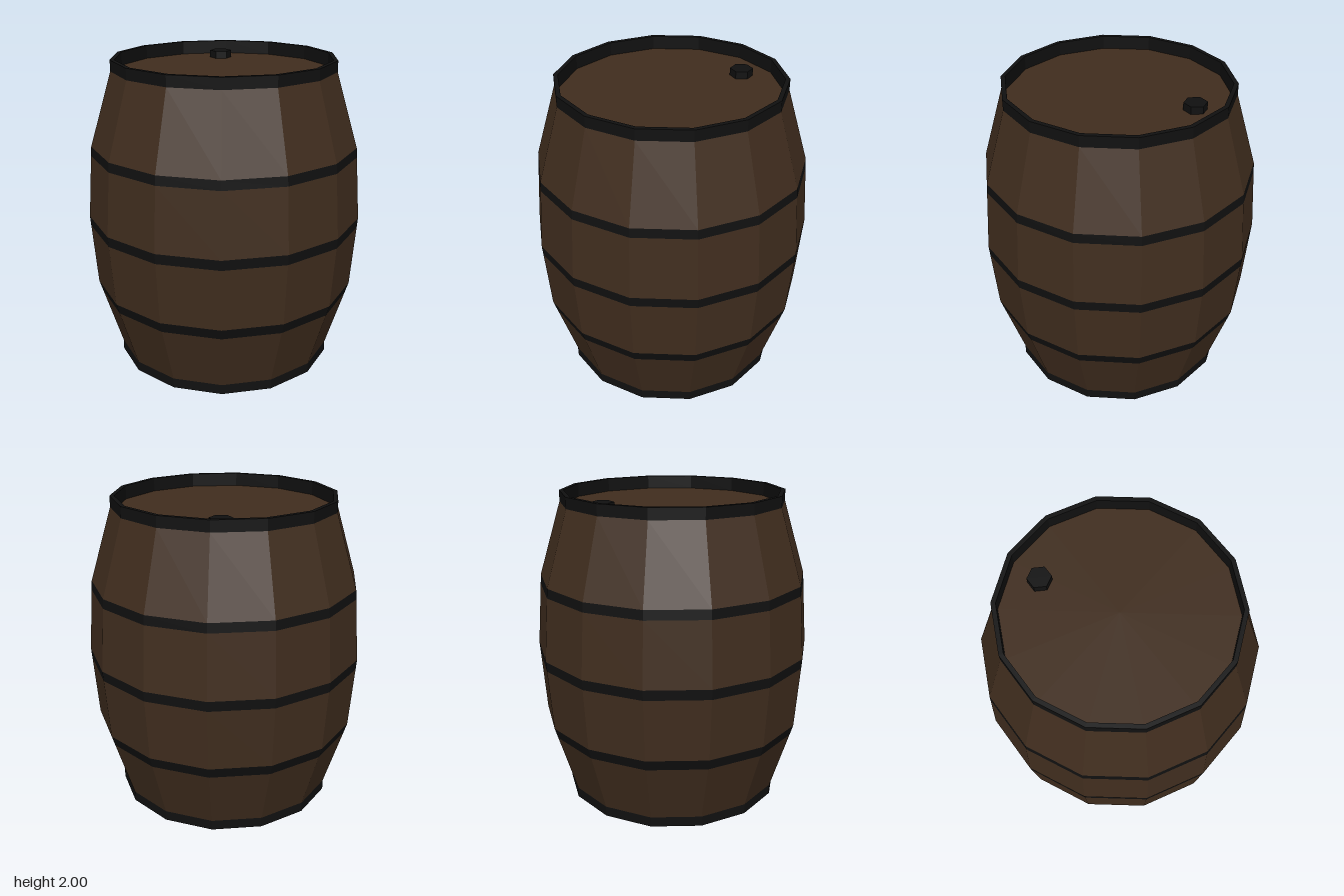
import * as THREE from 'three';

const SIDES = 14;
const wood = new THREE.MeshStandardMaterial({ color: 0x402d1e, flatShading: true });
const iron = new THREE.MeshStandardMaterial({ color: 0x101010, flatShading: true });

// Outline of the staves as [radius, height], from bottom to top
const outline = [[0.713, 0], [0.713, 0.065], [0.855, 0.53], [0.89, 0.995], [0.855, 1.46], [0.713, 1.93], [0.713, 2]];

function radiusAt(y) {
  const i = Math.max(1, outline.findIndex((p) => p[1] >= y));
  const [r0, y0] = outline[i - 1];
  const [r1, y1] = outline[i];
  return r0 + ((r1 - r0) * (y - y0)) / (y1 - y0);
}

function turned(name, profile, material) {
  const points = profile.map(([r, y]) => new THREE.Vector2(r, y));
  const mesh = new THREE.Mesh(new THREE.LatheGeometry(points, SIDES), material);
  mesh.name = name;
  return mesh;
}

export function createModel() {
  const barrel = new THREE.Group();
  barrel.name = 'barrel';

  // Stave sections and the flush hoops between them
  const hoops = [[0.46, 0.53], [0.93, 0.995], [1.4, 1.46]];
  let start = 0.065;
  for (const [low, high] of [...hoops, [1.93, 2]]) {
    barrel.add(turned('staves', [[radiusAt(start), start], [radiusAt(low), low]], wood));
    start = high;
  }
  for (const [low, high] of hoops) {
    barrel.add(turned('hoop', [[radiusAt(low), low], [radiusAt(high), high]], iron));
  }

  // Closed base hoop, and top rim with its inner wall
  barrel.add(turned('baseHoop', [[0, 0], [0.713, 0], [0.713, 0.065]], iron));
  const lidY = 1.915;
  barrel.add(turned('topRim', [[0.713, 1.93], [0.713, 2], [0.685, 2], [0.685, lidY]], iron));

  // Recessed lid
  barrel.add(turned('lid', [[0.685, lidY], [0, lidY]], wood));

  // Six-sided bung on the lid
  const bung = new THREE.Mesh(new THREE.CylinderGeometry(0.072, 0.072, 0.05, 6), iron);
  bung.name = 'bung';
  bung.position.set(-0.245, lidY + 0.022, -0.43);
  barrel.add(bung);

  return barrel;
}
